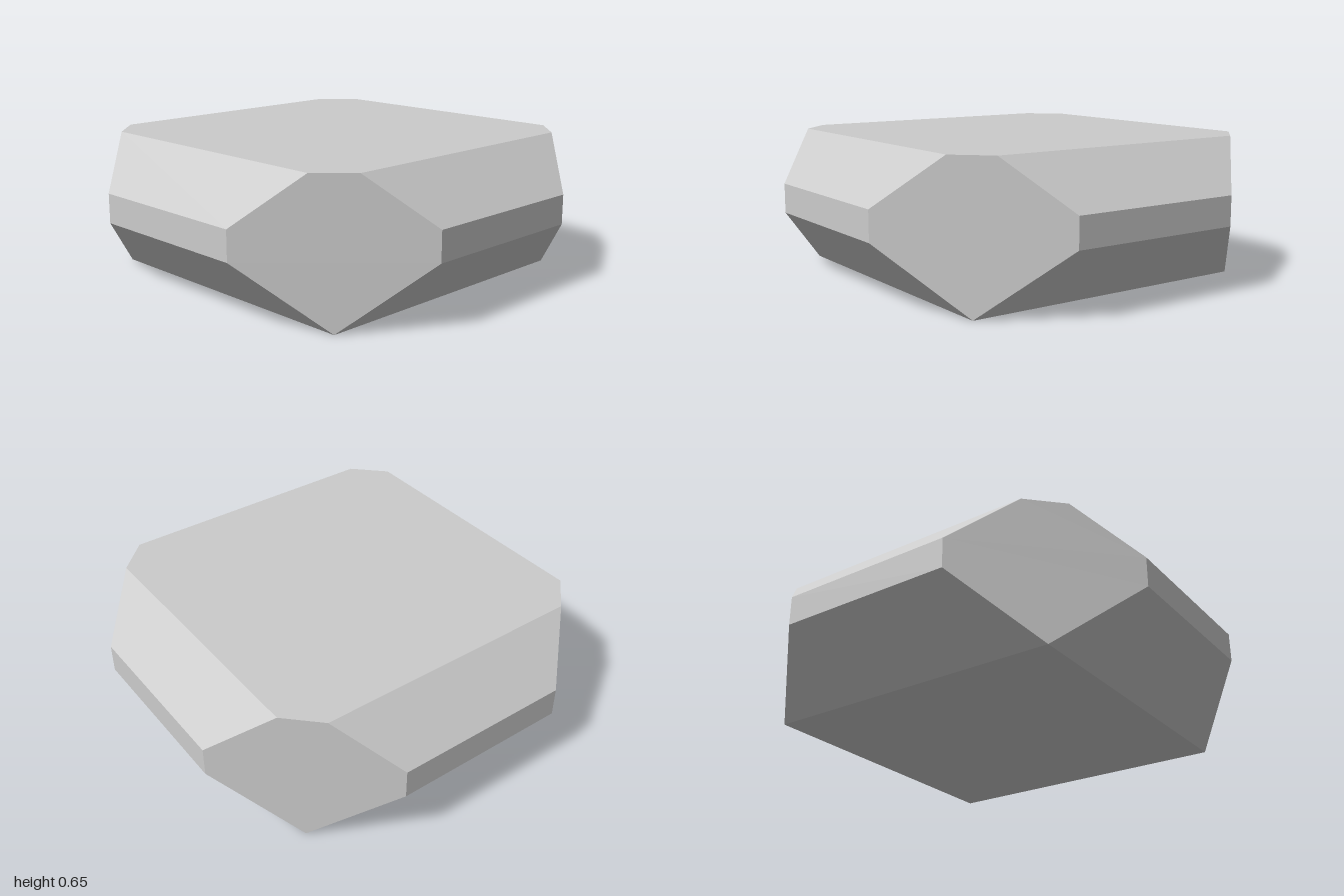
import * as THREE from 'three';

const S = Math.SQRT2; // the chamfered corners lie on |x| + |z| = S

// Eight-sided ring: half-width w along the axes, corners cut at 45 degrees
function ring(w, y) {
  const pts = [];
  for (let k = 0; k < 4; k++) {
    const c = Math.round(Math.cos(k * Math.PI / 2));
    const s = Math.round(Math.sin(k * Math.PI / 2));
    for (const [x, z] of [[w, S - w], [S - w, w]]) {
      pts.push(new THREE.Vector3(x * c - z * s, y, x * s + z * c));
    }
  }
  return pts;
}

// Flat-faced solid through stacked rings, closed at both ends
function loftGeometry(rings) {
  const pos = [];
  const tri = (a, b, c) => {
    if (new THREE.Triangle(a, b, c).getArea() < 1e-6) return; // collapsed corner
    for (const p of [a, b, c]) pos.push(p.x, p.y, p.z);
  };
  const top = rings[rings.length - 1];
  const topMid = new THREE.Vector3(0, top[0].y, 0);
  const bottomMid = new THREE.Vector3(0, rings[0][0].y, 0);
  for (let j = 0; j < 8; j++) {
    const n = (j + 1) % 8;
    for (let i = 0; i < rings.length - 1; i++) {
      const lo = rings[i], hi = rings[i + 1];
      tri(lo[j], hi[j], hi[n]);
      tri(lo[j], hi[n], lo[n]);
    }
    tri(topMid, top[n], top[j]);
    tri(bottomMid, rings[0][j], rings[0][n]);
  }
  const geo = new THREE.BufferGeometry();
  geo.setAttribute('position', new THREE.Float32BufferAttribute(pos, 3));
  geo.computeVertexNormals();
  return geo;
}

export function createModel() {
  const group = new THREE.Group();
  group.name = 'facetedBlock';

  // Square base, upright belt, bevelled crown with a flat table on top
  const geo = loftGeometry([
    ring(S / 2, 0),
    ring(1, 0.295),
    ring(1, 0.43),
    ring(0.778, 0.652),
  ]);
  const body = new THREE.Mesh(
    geo,
    new THREE.MeshStandardMaterial({ color: 0xcccccc, flatShading: true })
  );
  body.name = 'body';
  group.add(body);
  return group;
}
